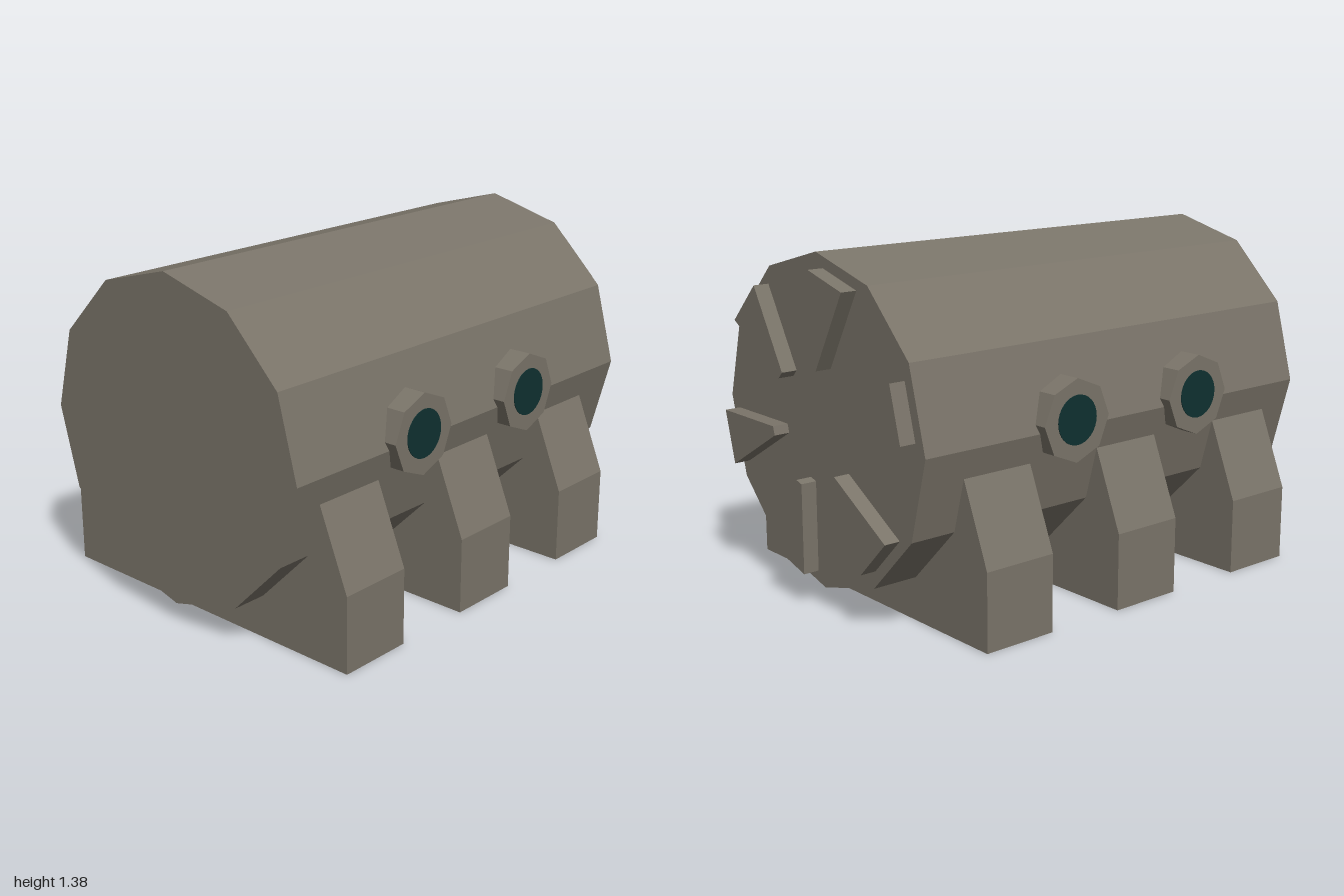
import * as THREE from 'three';

export function createModel() {
  const model = new THREE.Group();
  const stone = new THREE.MeshStandardMaterial({ color: 0x7a7469, flatShading: true });
  stone.name = 'warm grey';
  const glass = new THREE.MeshStandardMaterial({ color: 0x0f3030, flatShading: true });
  glass.name = 'dark teal';

  const axisY = 0.73;
  const add = (name, geometry, material, x = 0, y = 0, z = 0) => {
    const mesh = new THREE.Mesh(geometry, material);
    mesh.name = name;
    mesh.position.set(x, y, z);
    model.add(mesh);
    return mesh;
  };
  const extrude = (points, depth) => new THREE.ExtrudeGeometry(
    new THREE.Shape(points.map(([x, y]) => new THREE.Vector2(x, y))),
    { depth, bevelEnabled: false });

  // Twelve-sided tank lying along z, with a corner at the top
  add('tank', new THREE.CylinderGeometry(0.645, 0.645, 1.935, 12).rotateX(-Math.PI / 2),
    stone, 0, axisY, 0.0325);

  // Three cradles under the tank, their shoulders sloping into its sides
  const cradle = extrude([
    [-0.742, 0], [0.742, 0], [0.742, 0.305], [0.614, 0.62], [0.5, 0.62],
    [-0.5, 0.62], [-0.614, 0.62], [-0.742, 0.305],
  ], 0.31);
  for (const z of [0.548, -0.1, -0.745]) add('cradle', cradle, stone, 0, 0, z);

  // Two octagonal ports with round panes on each side
  const portLength = 0.2;
  const portEnd = 0.686;
  const port = new THREE.CylinderGeometry(0.16, 0.16, portLength, 8).rotateZ(-Math.PI / 2);
  const pane = new THREE.CylinderGeometry(0.095, 0.095, 0.006, 32).rotateZ(-Math.PI / 2);
  for (const side of [-1, 1]) {
    for (const z of [0.378, -0.268]) {
      add('port', port, stone, side * (portEnd - portLength / 2), 0.765, z);
      add('portPane', pane, glass, side * portEnd, 0.768, z);
    }
  }

  // Six tapered ribs fanned around the back end
  const rib = extrude([[0.235, -0.018], [0.581, -0.109], [0.581, 0.109], [0.235, 0.018]], 0.075);
  for (let i = 0; i < 6; i++) {
    add('backRib', rib, stone, 0, axisY, -1).rotation.z = Math.PI / 4 + i * Math.PI / 3;
  }

  return model;
}
